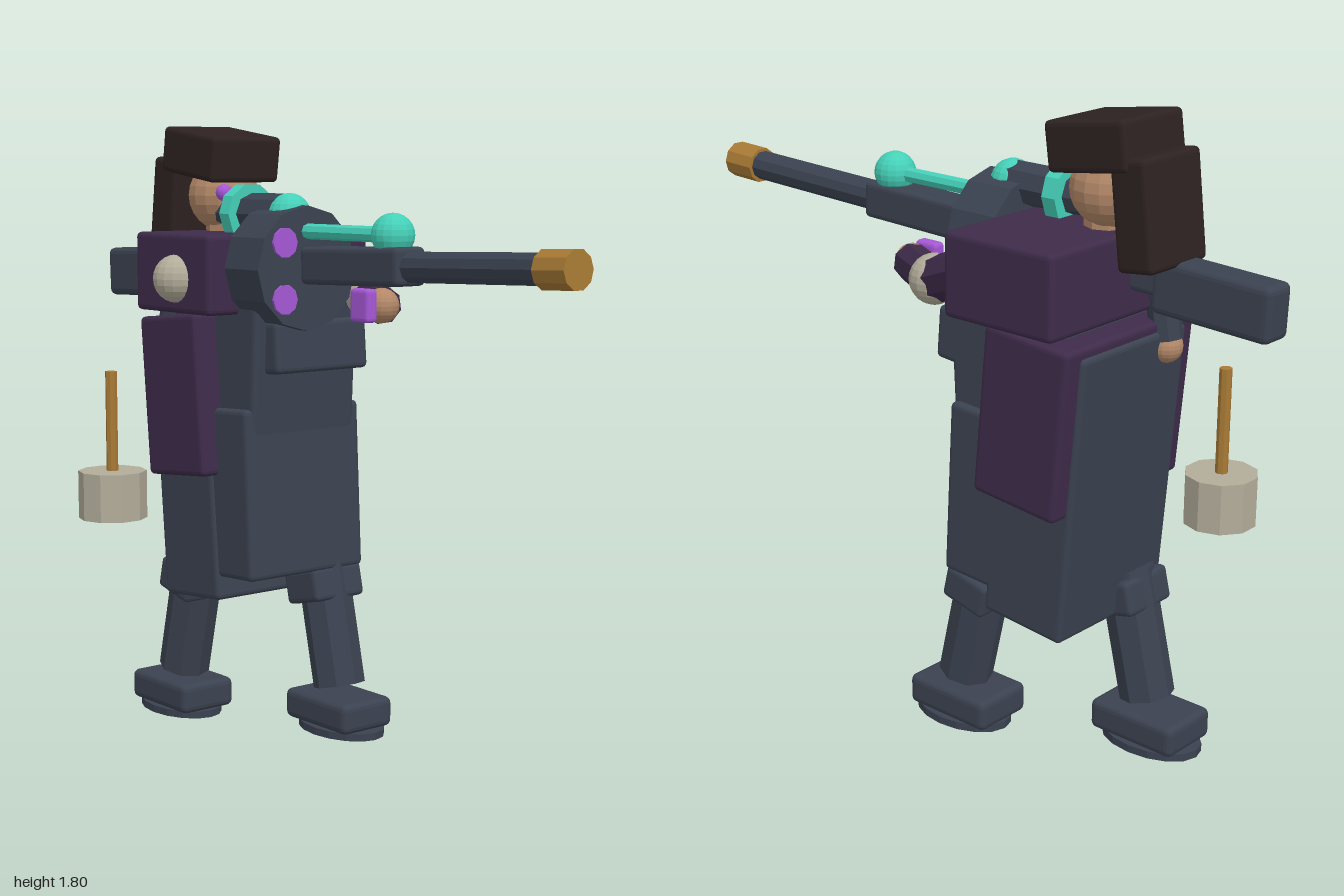
import * as THREE from 'three';
import { RoundedBoxGeometry } from 'three/addons/geometries/RoundedBoxGeometry.js';

const mat = (name, color) => {
  const m = new THREE.MeshStandardMaterial({ color, flatShading: true });
  m.name = name;
  return m;
};

export function createModel() {
  const model = new THREE.Group();
  model.name = 'rifleman';
  const slate = mat('slate', 0x3b4250);
  const plum = mat('plum', 0x3e2b4a);
  const violet = mat('violet', 0xa657d6);
  const teal = mat('teal', 0x45d0b8);
  const skin = mat('skin', 0xb38868);
  const bone = mat('bone', 0xb2ac99);
  const fur = mat('fur', 0x2d2221);
  const brass = mat('brass', 0xa87a35);

  const add = (name, geo, m, pos) => {
    const mesh = new THREE.Mesh(geo, m);
    mesh.name = name;
    mesh.position.set(...pos);
    model.add(mesh);
    return mesh;
  };
  // bevelled box, tilted about z
  const box = (name, m, size, pos, tilt = 0, r = 0.015) => {
    const mesh = add(name, new RoundedBoxGeometry(...size, 2, r), m, pos);
    mesh.rotation.z = tilt;
    return mesh;
  };
  const ball = (name, m, r, pos) => add(name, new THREE.SphereGeometry(r, 16, 12), m, pos);
  // cylinder running from a to b
  const rod = (name, m, a, b, r0, r1 = r0, sides = 8) => {
    const p = new THREE.Vector3(...a), q = new THREE.Vector3(...b);
    const dir = q.clone().sub(p);
    const mid = p.clone().add(q).multiplyScalar(0.5);
    const mesh = add(name, new THREE.CylinderGeometry(r1, r0, dir.length(), sides), m, mid.toArray());
    mesh.quaternion.setFromUnitVectors(new THREE.Vector3(0, 1, 0), dir.normalize());
    return mesh;
  };

  // legs and boots: rear leg, then leading leg
  const legs = [
    { n: 'rear', z: 0.055, top: -0.505, low: -0.592, foot: -0.603, sole: -0.61 },
    { n: 'leading', z: -0.18, top: -0.2, low: -0.117, foot: -0.122, sole: -0.108 },
  ];
  for (const l of legs) {
    const lean = Math.atan2(l.top - l.low, 0.36);
    rod(l.n + 'Leg', slate, [l.low, 0.135, l.z], [l.top, 0.5, l.z], 0.078);
    box(l.n + 'Knee', slate, [0.15, 0.1, 0.185], [l.top + (l.top - l.low) * -0.12, 0.435, l.z], -lean);
    box(l.n + 'Boot', slate, [0.285, 0.09, 0.19], [l.foot, 0.065, l.z], 0, 0.02);
    add(l.n + 'Sole', new THREE.CylinderGeometry(1, 1, 0.022, 16), slate, [l.sole, 0.011, l.z])
      .scale.set(0.158, 1, 0.105);
  }

  // coat
  box('skirt', slate, [0.4, 0.5, 0.425], [-0.335, 0.73, -0.065], 0.05);
  box('coatTail', slate, [0.27, 0.82, 0.435], [-0.44, 0.81, -0.06], 0.085);
  box('torso', slate, [0.4, 0.42, 0.38], [-0.335, 1.1, -0.065], -0.05);
  box('chestPouch', slate, [0.12, 0.15, 0.34], [-0.14, 1.165, -0.085], 0.08);
  box('cape', plum, [0.28, 0.475, 0.535], [-0.44, 1.01, -0.065], 0.09);
  box('shoulders', plum, [0.365, 0.23, 0.595], [-0.388, 1.375, -0.065]);

  // head and fur hat
  rod('neck', skin, [-0.48, 1.45, -0.035], [-0.48, 1.55, -0.035], 0.06);
  ball('head', skin, 0.107, [-0.49, 1.595, -0.035]);
  ball('eye', violet, 0.025, [-0.38, 1.605, 0.045]);
  box('hat', fur, [0.262, 0.135, 0.25], [-0.502, 1.717, -0.035], -0.14);
  box('hatBackFlap', fur, [0.115, 0.292, 0.235], [-0.647, 1.56, -0.035], -0.12);

  // supporting arm
  rod('upperArm', plum, [-0.3, 1.4, -0.285], [-0.07, 1.31, -0.245], 0.065);
  ball('elbow', bone, 0.07, [-0.065, 1.31, -0.245]);
  rod('forearm', plum, [-0.05, 1.305, -0.235], [0.13, 1.295, -0.13], 0.055);
  ball('hand', skin, 0.05, [0.14, 1.295, -0.118]);
  box('handPad', violet, [0.08, 0.095, 0.04], [0.127, 1.297, -0.062], 0, 0.012);

  // tucked arm
  ball('shoulderJoint', bone, 0.07, [-0.37, 1.36, 0.225]);
  rod('tuckedForearm', slate, [-0.57, 1.36, 0.08], [-0.6, 1.18, 0.08], 0.045);
  ball('tuckedHand', skin, 0.045, [-0.6, 1.16, 0.08]);

  // rifle
  box('stock', slate, [0.365, 0.15, 0.1], [-0.818, 1.355, 0], 0.04, 0.02);
  box('rifleBody', slate, [0.6, 0.1, 0.09], [-0.4, 1.39, 0], 0.04);
  box('receiver', slate, [0.41, 0.105, 0.11], [0.19, 1.412, 0], 0.03);
  rod('barrel', slate, [0.36, 1.416, 0], [0.93, 1.434, 0], 0.043, 0.043, 10);
  rod('muzzle', brass, [0.89, 1.432, 0], [1, 1.436, 0], 0.053, 0.053, 10);
  rod('drum', slate, [-0.2, 1.395, 0], [-0.045, 1.395, 0], 0.178, 0.178, 12);
  for (const y of [1.31, 1.47]) {
    rod('drumStud', violet, [-0.046, y, 0.085], [-0.037, y, 0.085], 0.043, 0.043, 10);
  }
  rod('energyRod', teal, [-0.05, 1.5, 0], [0.32, 1.5, 0], 0.022);
  ball('energyOrb', teal, 0.06, [0.32, 1.5, 0]);

  // scope
  rod('eyepiece', slate, [-0.515, 1.545, 0], [-0.34, 1.545, 0], 0.02, 0.06);
  rod('scopeRing', teal, [-0.347, 1.545, 0], [-0.302, 1.545, 0], 0.088, 0.088, 10);
  rod('scopeTube', slate, [-0.34, 1.545, 0], [-0.13, 1.545, 0], 0.06);
  ball('scopeLens', teal, 0.062, [-0.127, 1.545, 0]);

  // hanging mallet
  rod('malletHead', bone, [-0.667, 0.62, 0.262], [-0.667, 0.765, 0.262], 0.104, 0.104, 10);
  rod('malletHandle', brass, [-0.667, 0.76, 0.262], [-0.667, 1.068, 0.262], 0.018);

  return model;
}
